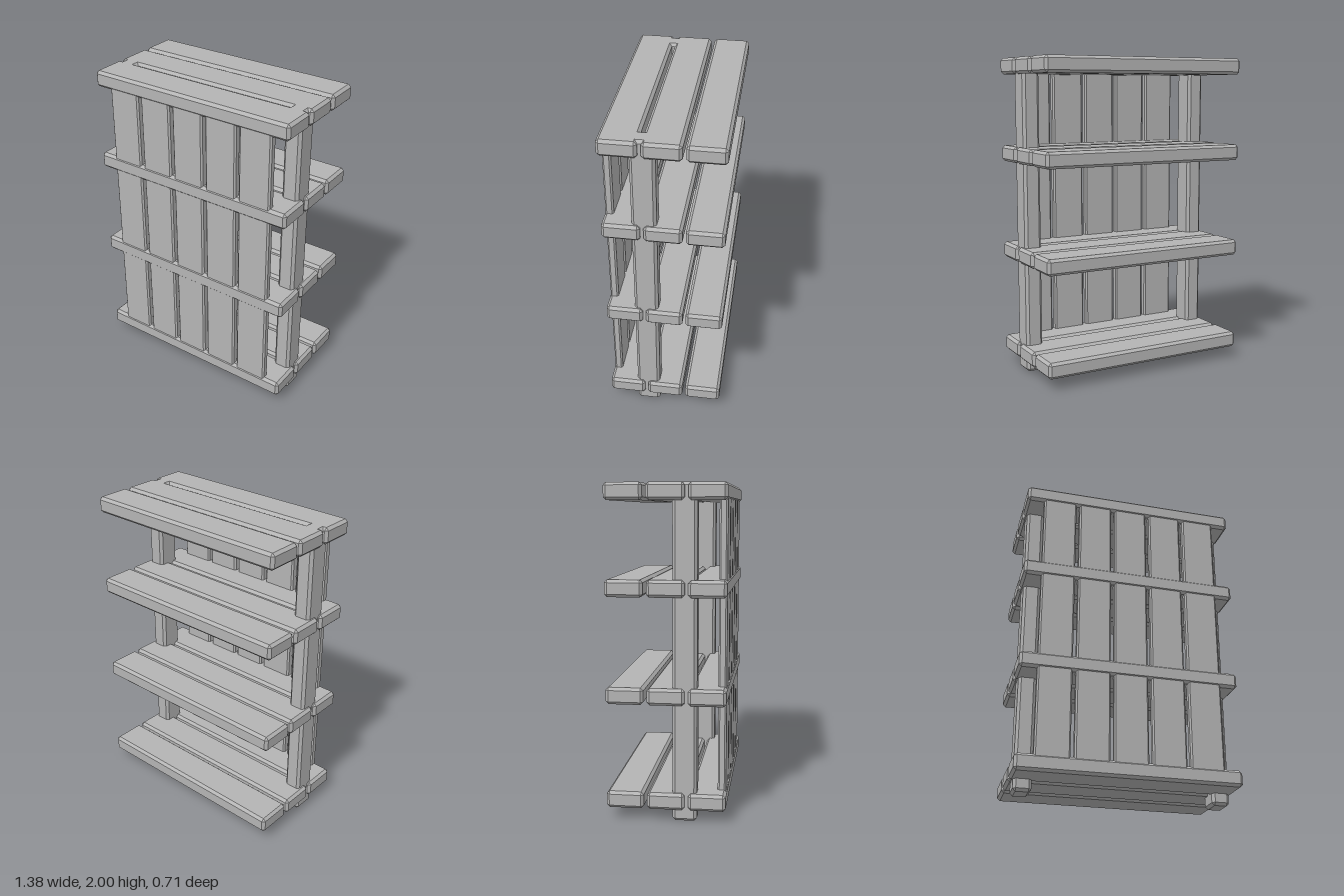
import * as THREE from 'three';
import { ConvexGeometry } from 'three/addons/geometries/ConvexGeometry.js';

// Box with every edge and corner cut by a flat chamfer c
function chamferBox(w, h, d, c) {
  const points = [];
  for (const sx of [-1, 1]) for (const sy of [-1, 1]) for (const sz of [-1, 1]) {
    const x = w / 2, y = h / 2, z = d / 2;
    points.push(
      new THREE.Vector3(sx * x, sy * (y - c), sz * (z - c)),
      new THREE.Vector3(sx * (x - c), sy * y, sz * (z - c)),
      new THREE.Vector3(sx * (x - c), sy * (y - c), sz * z)
    );
  }
  return new ConvexGeometry(points);
}

export function createModel() {
  const group = new THREE.Group();
  group.name = 'slattedShelf';
  const grey = new THREE.MeshStandardMaterial({ color: 0xb4b4b4 });
  grey.name = 'plain grey';

  const add = (name, geometry, x, y, z) => {
    const mesh = new THREE.Mesh(geometry, grey);
    mesh.name = name;
    mesh.position.set(x, y, z);
    group.add(mesh);
  };

  // Four shelves of three planks each
  const plank = chamferBox(1.38, 0.102, 0.225, 0.017);
  [0.124, 0.759, 1.394, 1.949].forEach((y, i) => {
    [['Front', 0.245], ['Middle', 0], ['Back', -0.245]].forEach(([part, z]) =>
      add(`shelf${i + 1}${part}Plank`, plank, 0, y, z));
  });

  // Two upright posts, flush with the top shelf
  const post = chamferBox(0.11, 2, 0.146, 0.017);
  add('leftPost', post, 0.61, 1, 0.111);
  add('rightPost', post, -0.61, 1, 0.111);

  // Five upright slats closing the front
  const slat = chamferBox(0.214, 1.84, 0.05, 0.01);
  for (let i = -2; i <= 2; i++) add(`frontSlat${i + 3}`, slat, i * 0.236, 1.03, 0.327);

  return group;
}
